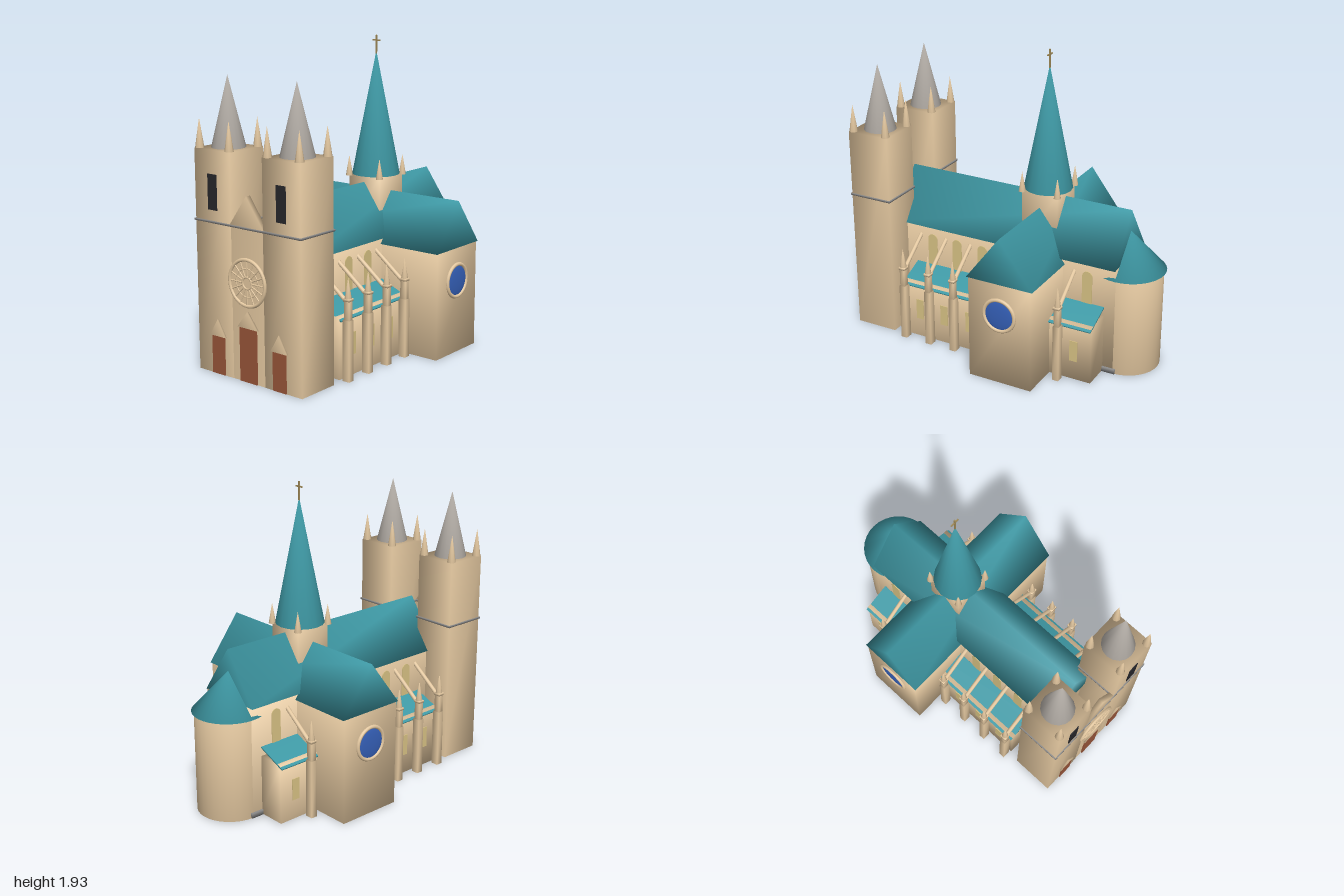
import * as THREE from 'three';
import { mergeVertices } from 'three/addons/utils/BufferGeometryUtils.js';

const mat = (name, color, extra = {}) => Object.assign(new THREE.MeshStandardMaterial({ color, ...extra }), { name });
const stone = mat('stone', 0xe4c8a0);
const teal = mat('copperRoof', 0x3f9aa6, { side: THREE.DoubleSide });
const slate = mat('greySpire', 0xb5afa8);
const glass = mat('paleGlass', 0xd8c284);
const blue = mat('blueGlass', 0x3560b8);
const wood = mat('doorWood', 0x985539);
const dark = mat('darkOpening', 0x26262a);
const grey = mat('greyTrim', 0x8a8988);
const brass = mat('brass', 0xa08a58);

// Shares corner normals so that the shading runs softly over the edges
function soften(geo) {
  geo.deleteAttribute('normal');
  geo.deleteAttribute('uv');
  const g = mergeVertices(geo, 1e-4);
  g.computeVertexNormals();
  return g;
}

export function createModel() {
  const root = new THREE.Group();

  const add = (name, geo, material, x = 0, y = 0, z = 0) => {
    const m = new THREE.Mesh(geo, material);
    m.name = name;
    m.position.set(x, y, z);
    root.add(m);
    return m;
  };
  // Flat-shaded plate given by its extents
  const plate = (name, material, x0, x1, y0, y1, z0, z1) =>
    add(name, new THREE.BoxGeometry(x1 - x0, y1 - y0, z1 - z0), material,
      (x0 + x1) / 2, (y0 + y1) / 2, (z0 + z1) / 2);
  // Softly shaded block given by its extents
  const box = (...args) => {
    const m = plate(...args);
    m.geometry = soften(m.geometry);
    return m;
  };
  // Cone standing on y0
  const cone = (name, material, r, x, y0, y1, z, seg = 16) =>
    add(name, soften(new THREE.ConeGeometry(r, y1 - y0, seg)), material, x, (y0 + y1) / 2, z);
  // Triangular prism running along z, centred on z = 0
  const prism = (halfWidth, height, length) => {
    const s = new THREE.Shape();
    s.moveTo(-halfWidth, 0);
    s.lineTo(halfWidth, 0);
    s.lineTo(0, height);
    s.closePath();
    return soften(new THREE.ExtrudeGeometry(s, { depth: length, bevelEnabled: false }).translate(0, 0, -length / 2));
  };
  // Round bar between two points
  const bar = (name, material, a, b, r) => {
    const m = add(name, new THREE.CylinderGeometry(r, r, a.distanceTo(b), 8), material);
    m.position.copy(a).add(b).multiplyScalar(0.5);
    m.quaternion.setFromUnitVectors(new THREE.Vector3(0, 1, 0), b.clone().sub(a).normalize());
    return m;
  };

  // Nave and floor slab
  box('floorSlab', grey, -0.75, 0.785, 0.004, 0.035, -0.222, 0.222);
  box('naveWalls', stone, -0.75, 0.77, 0.01, 0.71, -0.21, 0.21);
  add('naveRoof', prism(0.222, 0.315, 1.543).rotateY(Math.PI / 2), teal, -0.0015, 0.705, 0);

  // Transept
  box('transeptWalls', stone, 0, 0.42, 0, 0.675, -0.63, 0.63);
  add('transeptRoof', prism(0.222, 0.293, 1.27), teal, 0.21, 0.67, 0);

  // Apse
  add('apseWall', soften(new THREE.CylinderGeometry(0.21, 0.21, 0.64, 32)), stone, 0.77, 0.32, 0);
  cone('apseRoof', teal, 0.226, 0.77, 0.64, 0.885, 0, 32);

  // Crossing tower, spire and cross
  box('crossingTower', stone, 0.09, 0.33, 0.7, 1.06, -0.12, 0.12);
  cone('crossingSpire', teal, 0.152, 0.21, 1.06, 1.84, 0, 16);
  for (const sx of [-1, 1]) for (const sz of [-1, 1])
    cone('crossingPinnacle', stone, 0.023, 0.21 + sx * 0.12, 1.05, 1.18, sz * 0.12, 8);
  plate('crossPost', brass, 0.206, 0.214, 1.82, 1.935, -0.004, 0.004);
  plate('crossArm', brass, 0.206, 0.214, 1.899, 1.907, -0.029, 0.029);

  // Arched clerestory window outline
  const arch = new THREE.Shape();
  arch.moveTo(-0.033, 0);
  arch.lineTo(0.033, 0);
  arch.lineTo(0.033, 0.2);
  arch.absarc(0, 0.2, 0.033, 0, Math.PI, false);
  arch.closePath();

  for (const s of [-1, 1]) {
    // Side aisle with lean-to roof
    box('aisleWall', stone, -0.63, 0.7, 0.004, 0.385, s > 0 ? 0.2 : -0.385, s > 0 ? 0.385 : -0.2);
    const roof = add('aisleRoof', soften(new THREE.BoxGeometry(1.33, 0.01, 0.206)), teal, 0.035, 0.402, s * 0.305);
    roof.rotation.x = s * Math.atan2(0.08, 0.19);

    // Aisle and clerestory windows
    for (const x of [-0.51, -0.33, -0.145, 0.585]) {
      plate('aisleWindow', glass, x - 0.026, x + 0.026, 0.13, 0.267, s * 0.386 - 0.004, s * 0.386 + 0.004);
      add('clerestoryWindow', new THREE.ExtrudeGeometry(arch, { depth: 0.008, bevelEnabled: false }),
        glass, x, 0.425, s * 0.211 - 0.004);
    }

    // Flying buttresses
    for (const x of [-0.6, -0.415, -0.235, -0.055, 0.495]) {
      box('buttressBase', stone, x - 0.021, x + 0.021, 0, 0.37, s * 0.425 - 0.025, s * 0.425 + 0.025);
      box('buttressPier', stone, x - 0.016, x + 0.016, 0.37, 0.49, s * 0.427 - 0.02, s * 0.427 + 0.02);
      box('buttressCap', stone, x - 0.021, x + 0.021, 0.485, 0.5, s * 0.427 - 0.023, s * 0.427 + 0.023);
      cone('buttressPinnacle', stone, 0.021, x, 0.5, 0.625, s * 0.427, 8);
      bar('flyingArch', stone, new THREE.Vector3(x, 0.47, s * 0.425), new THREE.Vector3(x, 0.645, s * 0.2), 0.013);
    }

    // Transept rose window
    add('transeptRoseFrame', new THREE.TorusGeometry(0.102, 0.012, 8, 40), stone, 0.21, 0.463, s * 0.632);
    const rose = add('transeptRoseGlass', new THREE.SphereGeometry(0.098, 32, 16), blue, 0.21, 0.463, s * 0.63);
    rose.scale.z = 0.12;

    // West tower
    const tx = -0.842, tz = s * 0.265;
    box('westTower', stone, tx - 0.14, tx + 0.14, 0, 1.34, tz - 0.14, tz + 0.14);
    box('towerBand', grey, tx - 0.147, tx + 0.147, 0.913, 0.925, tz - 0.147, tz + 0.147);
    cone('towerSpire', slate, 0.102, tx, 1.34, 1.76, tz, 16);
    for (const a of [-1, 1]) for (const b of [-1, 1])
      cone('towerPinnacle', stone, 0.027, tx + a * 0.118, 1.34, 1.515, tz + b * 0.118, 8);
    plate('belfryOpening', dark, -0.987, -0.979, 0.99, 1.2, tz - 0.035, tz + 0.035);
  }

  // West front between the towers
  box('westWall', stone, -0.98, -0.95, 0, 0.92, -0.13, 0.13);
  box('westBand', grey, -0.989, -0.945, 0.913, 0.925, -0.13, 0.13);
  add('westGable', prism(0.13, 0.18, 0.035).rotateY(Math.PI / 2), stone, -0.967, 0.925, 0);

  // West rose window with spokes
  const westRose = add('westRoseDisc', new THREE.CylinderGeometry(0.135, 0.135, 0.008, 40), stone, -0.983, 0.6, 0);
  westRose.rotation.z = Math.PI / 2;
  for (const [r, t] of [[0.137, 0.011], [0.085, 0.005], [0.035, 0.007]])
    add('westRoseRing', new THREE.TorusGeometry(r, t, 8, 40).rotateY(Math.PI / 2), stone, -0.985, 0.6, 0);
  for (let i = 0; i < 16; i++) {
    const a = i * Math.PI / 8, c = Math.cos(a), d = Math.sin(a);
    bar('westRoseSpoke', stone, new THREE.Vector3(-0.986, 0.6 + 0.03 * d, 0.03 * c),
      new THREE.Vector3(-0.986, 0.6 + 0.135 * d, 0.135 * c), 0.005);
  }

  // Portals with pointed hoods
  for (const [z, w, h, peak] of [[0, 0.066, 0.33, 0.43], [-0.24, 0.05, 0.235, 0.34], [0.24, 0.05, 0.235, 0.34]]) {
    plate('door', wood, -0.989, -0.979, 0.002, h, z - w, z + w);
    add('doorGable', prism(w + 0.012, peak - h, 0.016).rotateY(Math.PI / 2), stone, -0.984, h, z);
  }

  return root;
}
